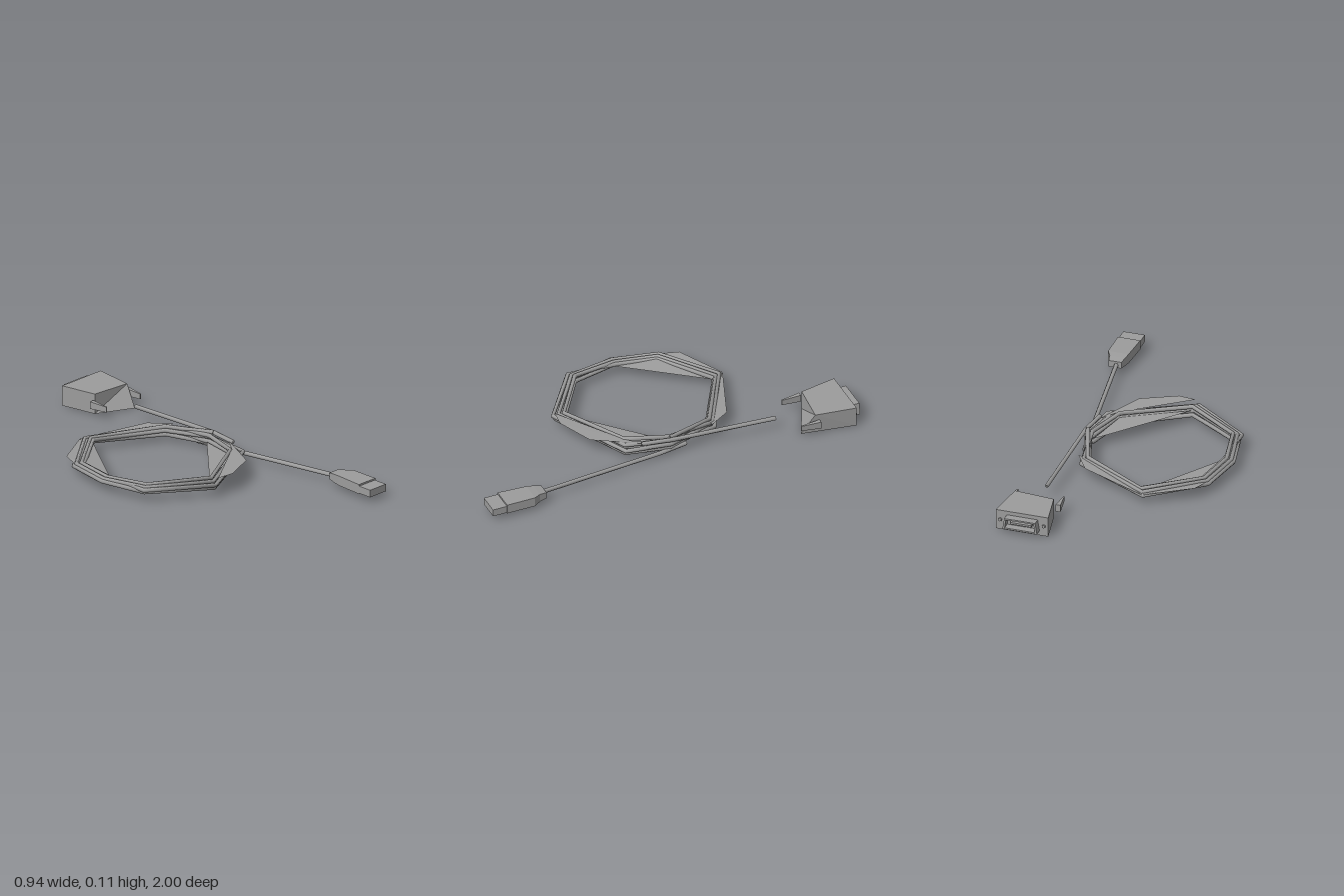
import * as THREE from 'three';

const grey = new THREE.MeshStandardMaterial({ color: 0x9c9c9c, side: THREE.DoubleSide });
grey.name = 'cable grey';

function addMesh(parent, name, geometry) {
  const mesh = new THREE.Mesh(geometry, grey);
  mesh.name = name;
  parent.add(mesh);
  return mesh;
}

function fromTriangles(points, index) {
  const g = new THREE.BufferGeometry();
  g.setAttribute('position', new THREE.Float32BufferAttribute(points.flat(), 3));
  g.setIndex(index);
  return g;
}

// Solid through equal loops of points, listed counter-clockwise seen from +z, back to front
function loft(loops, flat = true) {
  const n = loops[0].length, index = [];
  for (let s = 0; s < loops.length - 1; s++) {
    for (let i = 0; i < n; i++) {
      const a = s * n + i, b = s * n + (i + 1) % n;
      index.push(a, b, b + n, a, b + n, a + n);
    }
  }
  const end = (loops.length - 1) * n;
  for (let i = 1; i < n - 1; i++) {
    index.push(0, i + 1, i, end, end + i, end + i + 1);
  }
  let g = fromTriangles(loops.flat(), index);
  if (flat) g = g.toNonIndexed();
  g.computeVertexNormals();
  return g;
}

const rect = (z, x0, x1, y0, y1) => [[x0, y0, z], [x1, y0, z], [x1, y1, z], [x0, y1, z]];

// Faceted cord along a polyline, mitred at its corners
function cord(points, radius, sides = 6) {
  const loops = points.map((p, i) => {
    const a = points[Math.max(i - 1, 0)], b = points[Math.min(i + 1, points.length - 1)];
    const side = new THREE.Vector3(b[2] - a[2], 0, a[0] - b[0]).normalize();
    return Array.from({ length: sides }, (_, k) => {
      const t = (k / sides) * Math.PI * 2;
      const across = -Math.cos(t) * radius;
      return [p[0] - side.x * across, p[1] + Math.sin(t) * radius, p[2] - side.z * across];
    });
  });
  return loft(loops, false);
}

// Flat web bridging neighbouring strands
function web(points) {
  const index = [];
  for (let i = 1; i < points.length - 1; i++) index.push(0, i + 1, i);
  const g = fromTriangles(points, index).toNonIndexed();
  g.computeVertexNormals();
  return g;
}

export function createModel() {
  const model = new THREE.Group();
  model.name = 'coiled adapter cable';

  // Coil: corners as inner x, inner z, outer x, outer z, half height
  const corners = [
    [0.28, -0.03, 0.31, -0.03, 0.036],
    [0.21, 0.18, 0.28, 0.2, 0.034],
    [-0.11, 0.36, -0.13, 0.41, 0.028],
    [-0.38, 0.18, -0.42, 0.2, 0.02],
    [-0.41, -0.05, -0.46, -0.05, 0.008],
    [-0.37, -0.26, -0.41, -0.29, 0.01],
    [-0.11, -0.45, -0.14, -0.5, 0.011],
    [0.21, -0.27, 0.25, -0.29, 0.024],
  ];
  const coilPoint = (k, out, level) => {
    const [x0, z0, x1, z1, h] = corners[k];
    const z = z0 + (z1 - z0) * out;
    return [x0 + (x1 - x0) * out, 0.06 + 0.016 * z + h * level, z];
  };
  const turns = 6, path = [];
  for (let i = 0; i <= turns * 8; i++) {
    const turn = Math.floor(i / 8);
    const out = ((turn * 3 + (i % 8 > 3 ? 1 : 0)) % 5) / 4;
    path.push(coilPoint(i % 8, out, -1 + (2 * i) / (turns * 8)));
  }
  const coil = new THREE.Group();
  coil.name = 'coil';
  model.add(coil);
  addMesh(coil, 'coilStrands', cord(path, 0.011));

  // Webs inside and outside the coil
  addMesh(coil, 'innerBackWeb', web([[-0.11, 0.045, -0.455], [-0.37, 0.065, -0.27], [-0.4, 0.055, -0.05]]));
  addMesh(coil, 'innerFrontWeb', web([[0.27, 0.05, -0.04], [0.21, 0.06, 0.19], [-0.11, 0.07, 0.35]]));
  addMesh(coil, 'outerBackRightWeb', web([[-0.14, 0.055, -0.51], [0.2, 0.075, -0.38],
    [0.27, 0.08, -0.27], [0.21, 0.07, -0.27]]));
  addMesh(coil, 'outerBackLeftWeb', web([[-0.38, 0.06, -0.27], [-0.4, 0.06, -0.3],
    [-0.37, 0.065, -0.38], [-0.14, 0.055, -0.51]]));
  addMesh(coil, 'outerFrontWeb', web([[0.22, 0.09, 0.18], [0.3, 0.085, 0.08], [0.16, 0.095, 0.34],
    [-0.02, 0.1, 0.42], [-0.11, 0.1, 0.41]]));

  // Loose cable ends
  addMesh(model, 'frontCable', cord([[0.29, 0.026, -0.12], [0.315, 0.026, 0.03], [0.405, 0.05, 0.73]], 0.011));
  addMesh(model, 'backCable', cord([[0.29, 0.09, 0.12], [0.315, 0.088, -0.03], [0.328, 0.064, -0.585]], 0.011));

  // Front plug: tapered grip and metal tip
  const frontPlug = new THREE.Group();
  frontPlug.name = 'frontPlug';
  model.add(frontPlug);
  addMesh(frontPlug, 'frontPlugGrip', loft([
    rect(0.7, 0.375, 0.44, 0.034, 0.068),
    rect(0.74, 0.367, 0.448, 0.03, 0.074),
    rect(0.775, 0.362, 0.468, 0.027, 0.077),
    rect(0.925, 0.352, 0.468, 0.027, 0.077),
  ]));
  addMesh(frontPlug, 'frontPlugTip', loft([
    rect(0.925, 0.354, 0.465, 0.03, 0.068),
    rect(1, 0.354, 0.465, 0.03, 0.068),
  ]));

  // Back plug: wedge body with a slanted nose
  const backPlug = new THREE.Group();
  backPlug.name = 'backPlug';
  model.add(backPlug);
  addMesh(backPlug, 'backPlugBody', loft([
    rect(-0.96, 0.195, 0.467, 0, 0.105),
    [[0.23, 0, -0.77], [0.42, 0, -0.68], [0.438, 0.105, -0.75], [0.23, 0.105, -0.77]],
  ]));

  // Hollow socket shell with a tongue
  const shell = new THREE.Shape([[0.24, 0.025], [0.42, 0.025], [0.41, 0.085], [0.25, 0.085]]
    .map(([x, y]) => new THREE.Vector2(x, y)));
  shell.holes.push(new THREE.Path([[0.252, 0.033], [0.258, 0.077], [0.402, 0.077], [0.408, 0.033]]
    .map(([x, y]) => new THREE.Vector2(x, y))));
  addMesh(backPlug, 'socketShell', new THREE.ExtrudeGeometry(shell, { depth: 0.045, bevelEnabled: false }))
    .position.z = -1;
  addMesh(backPlug, 'socketTongue', loft([
    rect(-0.985, 0.275, 0.385, 0.05, 0.06),
    rect(-0.95, 0.275, 0.385, 0.05, 0.06),
  ]));

  // Screw ends at both sides of the back plug
  for (const [name, x0, x1, tip] of [['rightScrew', 0.196, 0.22, 0.212], ['leftScrew', 0.442, 0.466, 0.45]]) {
    addMesh(backPlug, name, loft([
      rect(-0.77, x0, x1, 0.037, 0.075),
      rect(-0.67, tip - 0.003, tip + 0.003, 0.042, 0.07),
    ]));
    // Screw heads on the back face
    const head = addMesh(backPlug, name + 'Head', new THREE.CylinderGeometry(0.009, 0.009, 0.012, 6));
    head.rotation.x = Math.PI / 2;
    head.position.set((x0 + x1) / 2 + (x0 < 0.3 ? 0.01 : -0.01), 0.055, -0.962);
  }

  return model;
}
